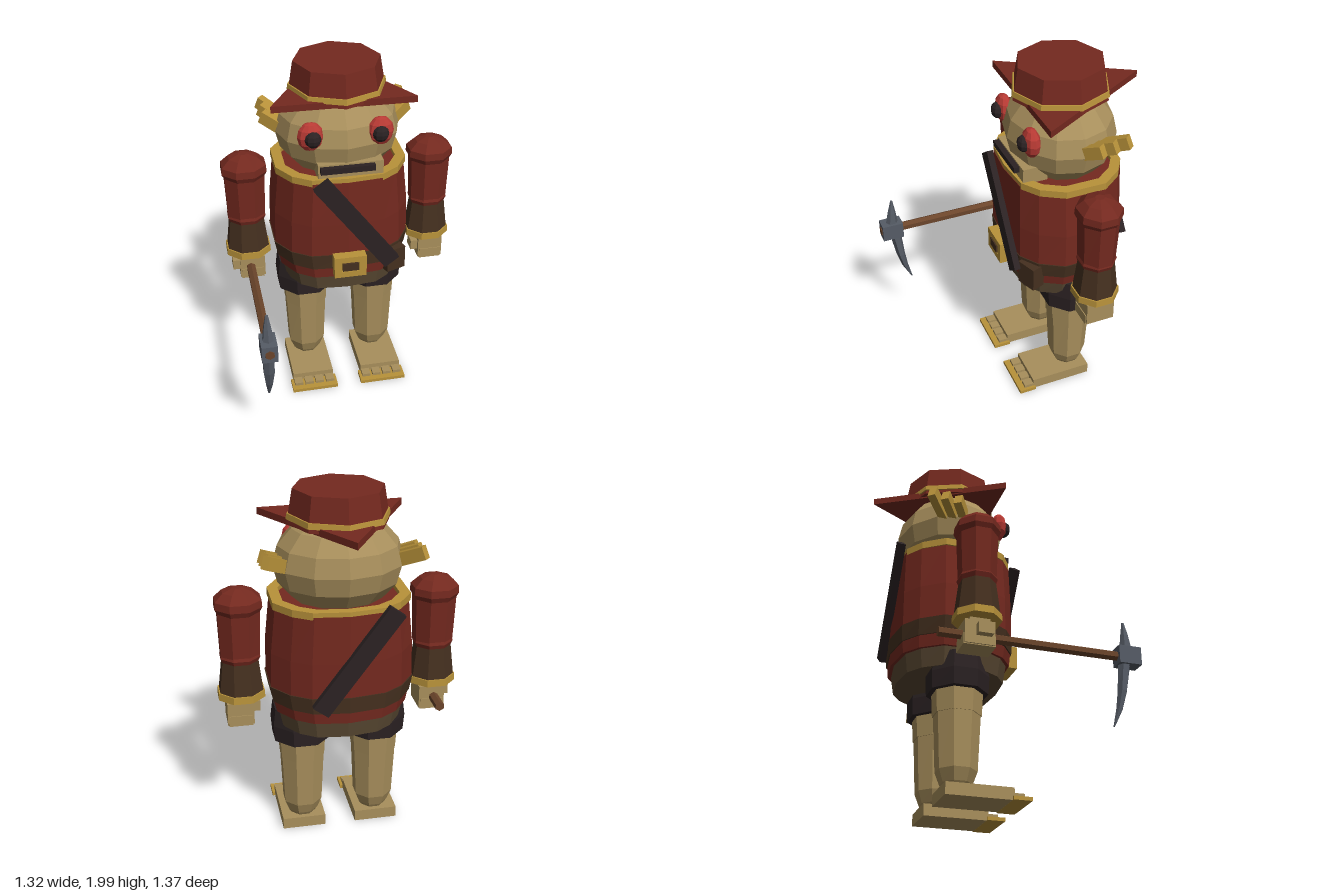
import * as THREE from 'three';

const ZC = -0.22; // depth of the body axis

function makeMaterial(name, color) {
  return new THREE.MeshStandardMaterial({ name, color });
}

// Faceted normals for the low-poly look
function facet(geo) {
  const g = geo.index ? geo.toNonIndexed() : geo;
  g.computeVertexNormals();
  return g;
}

function add(parent, name, geo, mat, x = 0, y = 0, z = 0) {
  const mesh = new THREE.Mesh(facet(geo), mat);
  mesh.name = name;
  mesh.position.set(x, y, z);
  parent.add(mesh);
  return mesh;
}

const box = (w, h, d) => new THREE.BoxGeometry(w, h, d);
const ball = (rx, ry, rz, n = 8, m = 6) => new THREE.SphereGeometry(1, n, m).scale(rx, ry, rz);

// Solid through a closed outline [x, z], repeated at levels [y, scaleX, scaleZ]
function loft(outline, levels) {
  const n = outline.length, pos = [], idx = [];
  for (const [y, sx, sz] of levels) for (const [x, z] of outline) pos.push(x * sx, y, z * sz);
  for (let l = 0; l < levels.length - 1; l++) {
    for (let i = 0; i < n; i++) {
      const a = l * n + i, b = l * n + (i + 1) % n;
      idx.push(a, b, b + n, a, b + n, a + n);
    }
  }
  const top = (levels.length - 1) * n;
  for (let i = 1; i < n - 1; i++) idx.push(0, i + 1, i, top, top + i, top + i + 1);
  const g = new THREE.BufferGeometry();
  g.setAttribute('position', new THREE.Float32BufferAttribute(pos, 3));
  g.setIndex(idx);
  return g;
}

// Regular outline, running from +z towards +x
function ngon(n, turn = 0) {
  return Array.from({ length: n }, (_, i) => {
    const a = turn + (i / n) * Math.PI * 2;
    return [Math.sin(a), Math.cos(a)];
  });
}

// Torso outline: the left half from front to back, then its mirror
const halfOutline = [
  [0, 0.32], [0.2, 0.303], [0.3, 0.235], [0.375, 0.11], [0.375, -0.12], [0.29, -0.235], [0.19, -0.3], [0, -0.325],
];
const torsoOutline = [...halfOutline, ...halfOutline.slice(1, -1).reverse().map(([x, z]) => [-x, z])];

function collarOutline(scale) {
  return new THREE.Shape(torsoOutline.map(([x, z]) => new THREE.Vector2(x * scale, -z * scale)));
}

export function createModel() {
  const red = makeMaterial('red cloth', 0x74291f);
  const skin = makeMaterial('tan skin', 0xa88f5c);
  const gold = makeMaterial('gold trim', 0xb8923a);
  const eyeRed = makeMaterial('eye red', 0xb83a34);
  const dark = makeMaterial('dark leather', 0x2b2223);
  const brown = makeMaterial('brown leather', 0x45301f);
  const drab = makeMaterial('drab cloth', 0x594832);
  const steel = makeMaterial('steel', 0x565c66);
  const wood = makeMaterial('wood', 0x6b452b);

  const model = new THREE.Group();
  model.name = 'miner';
  const group = (name) => {
    const g = new THREE.Group();
    g.name = name;
    model.add(g);
    return g;
  };

  // Torso
  const torso = group('torso');
  add(torso, 'jacket', loft(torsoOutline, [
    [0.8, 0.95, 0.98], [0.88, 0.99, 1], [0.95, 1.03, 1.01], [1.15, 1.02, 1.01], [1.41, 0.95, 0.99],
  ]), red, 0, 0, ZC);
  add(torso, 'belt', loft(torsoOutline, [[0.865, 1.0, 1.015], [0.955, 1.045, 1.025]]), brown, 0, 0, ZC);
  add(torso, 'hips', loft(torsoOutline, [[0.7, 0.86, 0.88], [0.81, 0.92, 0.93]]), drab, 0, 0, ZC);
  const collarShape = collarOutline(0.98);
  collarShape.holes.push(collarOutline(0.83));
  add(torso, 'collar', new THREE.ExtrudeGeometry(collarShape, { depth: 0.04, bevelEnabled: false }),
    gold, 0, 1.395, ZC).rotation.x = -Math.PI / 2;

  // Buckle, pouch and crossing straps
  const frame = new THREE.Shape();
  frame.moveTo(-0.092, -0.065).lineTo(0.092, -0.065).lineTo(0.092, 0.065).lineTo(-0.092, 0.065);
  const gap = new THREE.Path();
  gap.moveTo(-0.05, -0.03).lineTo(-0.05, 0.03).lineTo(0.05, 0.03).lineTo(0.05, -0.03);
  frame.holes.push(gap);
  add(torso, 'buckleFrame', new THREE.ExtrudeGeometry(frame, { depth: 0.06, bevelEnabled: false }), gold, 0, 0.903, 0.1);
  add(torso, 'buckleBack', box(0.11, 0.07, 0.03), gold, 0, 0.903, 0.13);
  add(torso, 'bucklePin', box(0.09, 0.048, 0.04), brown, 0, 0.905, 0.146);
  add(torso, 'pouch', box(0.12, 0.14, 0.08), brown, 0.27, 0.868, 0.045).rotation.y = 0.35;
  for (const [name, x, z] of [['frontStrap', 0.042, 0.13], ['backStrap', -0.04, -0.56]]) {
    add(torso, name, box(0.1, 0.67, 0.035), dark, x, 1.165, z).rotation.z = 0.64;
  }

  // Head
  const head = group('head');
  add(head, 'skull', ball(0.35, 0.265, 0.302, 12, 8), skin, 0, 1.603, -0.225);
  add(head, 'jaw', box(0.36, 0.09, 0.14), skin, 0.02, 1.468, -0.005);
  add(head, 'mouth', box(0.3, 0.033, 0.045), dark, 0, 1.488, 0.074);
  for (const s of [-1, 1]) {
    add(head, 'eye', ball(0.073, 0.083, 0.047, 10, 6), eyeRed, s * 0.19, 1.67, 0.018);
    add(head, 'pupil', ball(0.045, 0.046, 0.036), dark, s * 0.183, 1.668, 0.057);
    for (let i = 0; i < 3; i++) {
      const ear = add(head, 'earFin', box(0.19 - i * 0.02, 0.07, 0.045), gold,
        s * (0.343 + i * 0.005), 1.652 - i * 0.006, -0.378 + i * 0.065);
      ear.rotation.set(0, s * (0.72 - i * 0.06), s * 0.4);
    }
  }

  // Hat with a three-cornered brim
  const hat = group('hat');
  hat.position.set(0, 0, -0.227);
  add(hat, 'brim', new THREE.CylinderGeometry(0.455, 0.455, 0.037, 3), red, 0, 1.829, 0).rotation.set(0, Math.PI, 0.01);
  add(hat, 'crown', loft(ngon(8), [[1.82, 0.27, 0.27], [2, 0.24, 0.24]]), red);
  add(hat, 'hatBand', loft(ngon(8), [[1.842, 0.275, 0.275], [1.872, 0.27, 0.27]]), gold);

  // Arms
  for (const s of [-1, 1]) {
    const arm = group(s > 0 ? 'leftArm' : 'rightArm');
    arm.position.set(s * 0.535, 0, -0.215);
    const ring = ngon(8, Math.PI / 8);
    add(arm, 'shoulder', loft(ring, [
      [1.355, 0.118, 0.112], [1.385, 0.135, 0.126], [1.425, 0.132, 0.122], [1.468, 0.085, 0.08], [1.488, 0.025, 0.025],
    ]), red);
    add(arm, 'sleeve', loft(ring, [[1.1, 0.112, 0.1], [1.38, 0.122, 0.112]]), red);
    add(arm, 'sleeveHem', loft(ring, [[1.07, 0.102, 0.096], [1.1, 0.115, 0.107], [1.13, 0.104, 0.096]]), red);
    add(arm, 'gauntlet', loft(ring, [[0.87, 0.13, 0.124], [1.08, 0.104, 0.098]]), brown);
    add(arm, 'cuff', loft(ring, [[0.86, 0.136, 0.13], [0.9, 0.134, 0.128]]), gold);
    add(arm, 'palm', box(0.145, 0.13, 0.16), skin, 0.013, 0.78, 0);
    add(arm, 'fingers', box(0.13, 0.06, 0.17), skin, 0.013, 0.74, 0);
    add(arm, 'thumb', box(0.05, 0.06, 0.08), skin, -0.075, 0.79, 0.02);
    add(arm, 'wrist', box(0.11, 0.06, 0.11), skin, 0, 0.86, 0);
  }

  // Legs and feet
  for (const s of [-1, 1]) {
    const leg = group(s > 0 ? 'leftLeg' : 'rightLeg');
    leg.position.set(s * 0.207, 0, ZC);
    const ring = ngon(8, Math.PI / 8);
    add(leg, 'shorts', loft(ring, [[0.585, 0.17, 0.165], [0.68, 0.178, 0.17], [0.78, 0.165, 0.16]]), dark);
    add(leg, 'thigh', loft(ring, [[0.465, 0.13, 0.131], [0.6, 0.137, 0.138]]), skin);
    add(leg, 'shin', loft(ring, [
      [0.08, 0.074, 0.074], [0.1, 0.088, 0.086], [0.165, 0.114, 0.11], [0.48, 0.128, 0.126],
    ]), skin);
    add(leg, 'ankle', box(0.09, 0.06, 0.1), skin, 0, 0.07, 0);
    add(leg, 'foot', box(0.245, 0.065, 0.36), skin, s * 0.003, 0.043, 0.09);
    add(leg, 'claws', box(0.275, 0.02, 0.1), gold, s * 0.003, 0.02, 0.31);
    for (let i = 0; i < 4; i++) {
      add(leg, 'toe', box(0.05, 0.022, 0.065), skin, s * 0.003 + (i - 1.5) * 0.064, 0.037, 0.292);
    }
  }

  // Pickaxe held in the right hand
  const pick = group('pickaxe');
  pick.position.set(-0.533, 0.78, 0);
  add(pick, 'handle', new THREE.CylinderGeometry(0.027, 0.027, 1.1, 6), wood, 0, 0, 0.13).rotation.x = Math.PI / 2;
  add(pick, 'pickSocket', box(0.085, 0.1, 0.125), steel, 0, 0, 0.62);
  add(pick, 'handleEnd', new THREE.CylinderGeometry(0.027, 0.027, 0.008, 6), wood, 0, 0, 0.683)
    .rotation.x = Math.PI / 2;

  // Curved blade: levels of [y, half width, half depth, z], lowest first
  const blade = (name, levels) => {
    const ring = ngon(6);
    const g = loft(ring, levels);
    const p = g.attributes.position;
    for (let i = 0; i < p.count; i++) p.setZ(i, p.getZ(i) + levels[Math.floor(i / ring.length)][3]);
    add(pick, name, g, steel);
  };
  blade('upperBlade', [[0.04, 0.033, 0.038, 0.615], [0.12, 0.024, 0.024, 0.611], [0.2, 0.008, 0.007, 0.606]]);
  blade('lowerBlade', [
    [-0.4, 0.006, 0.004, 0.52], [-0.3, 0.022, 0.018, 0.556], [-0.2, 0.034, 0.026, 0.578], [-0.04, 0.033, 0.034, 0.6],
  ]);

  return model;
}
